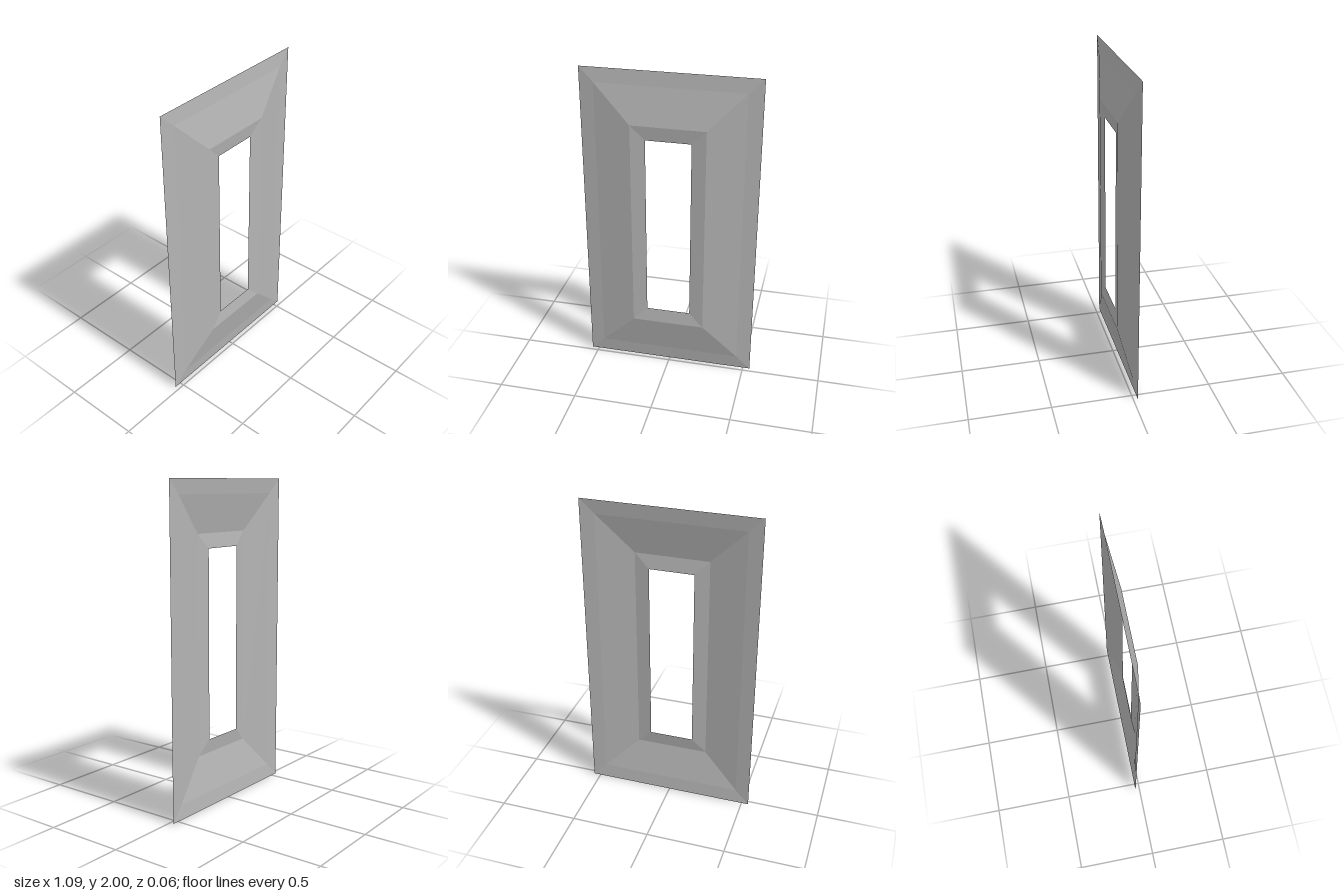
import * as THREE from 'three';

// Rectangular rings from the outer edge to the opening: half width, half height, z
const RINGS = [
  [0.545, 1.0, -0.028],
  [0.455, 0.91, -0.018],
  [0.23, 0.68, 0.028],
  [0.14, 0.59, 0.016],
];
const NAMES = ['outerLip', 'slopedFace', 'innerLip'];
const SIGNS = [[-1, -1], [1, -1], [1, 1], [-1, 1]];

const corner = ([w, h, z], i) => {
  const [sx, sy] = SIGNS[i % 4];
  return [sx * w, 1 + sy * h, z];
};

// Mitred band of four flat faces between two rings
function band(outer, inner) {
  const pos = [];
  for (let i = 0; i < 4; i++) {
    const a = corner(outer, i), b = corner(outer, i + 1);
    const c = corner(inner, i + 1), d = corner(inner, i);
    pos.push(...a, ...b, ...c, ...a, ...c, ...d);
  }
  const geometry = new THREE.BufferGeometry();
  geometry.setAttribute('position', new THREE.Float32BufferAttribute(pos, 3));
  geometry.computeVertexNormals();
  return geometry;
}

export function createModel() {
  const grey = new THREE.MeshStandardMaterial({ color: 0xb4b4b4, side: THREE.DoubleSide });
  grey.name = 'grey';
  const group = new THREE.Group();
  group.name = 'frame';

  // Thin pressed sheet, hollow behind
  NAMES.forEach((name, i) => {
    const mesh = new THREE.Mesh(band(RINGS[i], RINGS[i + 1]), grey);
    mesh.name = name;
    group.add(mesh);
  });
  return group;
}
